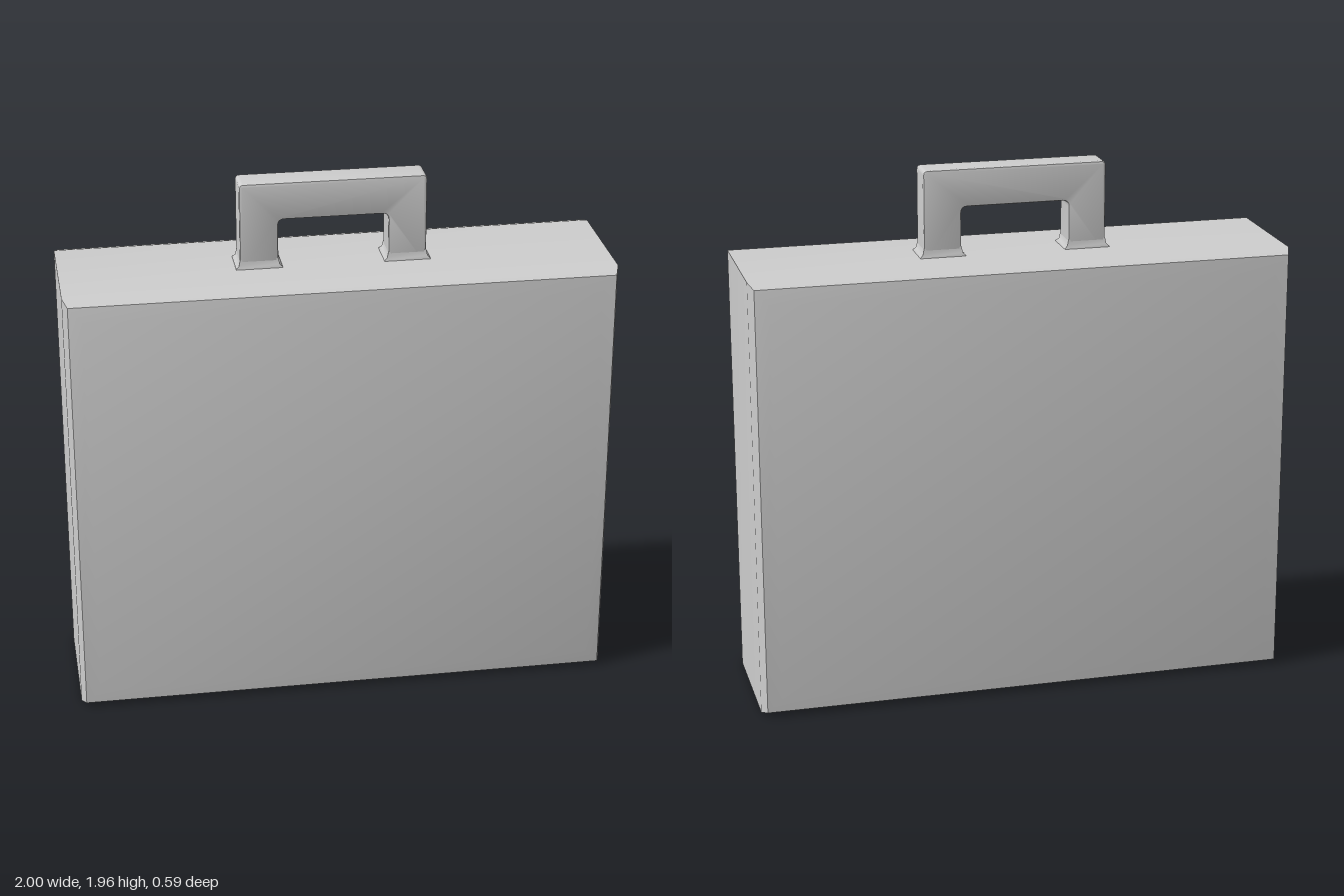
import * as THREE from 'three';
import { toCreasedNormals } from 'three/addons/utils/BufferGeometryUtils.js';

const material = new THREE.MeshStandardMaterial({ color: 0xcccccc });

function addPart(group, name, geometry, crease = 0.6) {
  const mesh = new THREE.Mesh(toCreasedNormals(geometry, crease), material);
  mesh.name = name;
  group.add(mesh);
  return mesh;
}

// Stack of centred rectangles along z; each ring is [z, half width, half height]
function ringedBox(rings) {
  const n = rings.length - 1;
  const geometry = new THREE.BoxGeometry(2, 2, n, 1, 1, n);
  const p = geometry.attributes.position;
  for (let i = 0; i < p.count; i++) {
    const [z, w, h] = rings[Math.round(p.getZ(i) + n / 2)];
    p.setXYZ(i, p.getX(i) * w, p.getY(i) * h, z);
  }
  return geometry;
}

// Arch outline with small rounded corners
function handleShape() {
  const s = new THREE.Shape();
  const outer = 0.34, inner = 0.2, base = 1.62, top = 1.96, under = 1.82, r = 0.016, q = 0.022;
  s.moveTo(-outer, base);
  s.lineTo(-inner, base);
  s.lineTo(-inner, under - q);
  s.quadraticCurveTo(-inner, under, -inner + q, under);
  s.lineTo(inner - q, under);
  s.quadraticCurveTo(inner, under, inner, under - q);
  s.lineTo(inner, base);
  s.lineTo(outer, base);
  s.lineTo(outer, top - r);
  s.quadraticCurveTo(outer, top, outer - r, top);
  s.lineTo(-outer + r, top);
  s.quadraticCurveTo(-outer, top, -outer, top - r);
  s.closePath();
  return s;
}

export function createModel() {
  const model = new THREE.Group();
  model.name = 'briefcase';

  // Case body, rounded towards the front and back faces
  const half = [[0.23, 1, 0.82], [0.28, 0.983, 0.803], [0.295, 0.93, 0.745]];
  const back = half.map(([z, w, h]) => [-z, w, h]).reverse();
  addPart(model, 'caseBody', ringedBox([...back, ...half])).position.y = 0.82;

  // Carrying handle
  const handle = new THREE.Group();
  handle.name = 'handle';
  handle.position.set(-0.01, 0, -0.002);
  model.add(handle);

  const depth = 0.116, bevel = 0.009;
  const arch = new THREE.ExtrudeGeometry(handleShape(), {
    depth: depth - 2 * bevel, bevelThickness: bevel, bevelSize: bevel,
    bevelOffset: -bevel, bevelSegments: 2, curveSegments: 4,
  });
  arch.translate(0, 0, bevel - depth / 2);
  addPart(handle, 'handleArch', arch);

  // Flared feet where the handle meets the case
  for (const side of [-1, 1]) {
    const foot = ringedBox([[1.63, 0.085, 0.066], [1.643, 0.084, 0.065], [1.652, 0.074, 0.06], [1.675, 0.069, 0.057]]);
    foot.rotateX(-Math.PI / 2);
    addPart(handle, side > 0 ? 'leftHandleFoot' : 'rightHandleFoot', foot, 1).position.x = side * 0.27;
  }

  return model;
}
